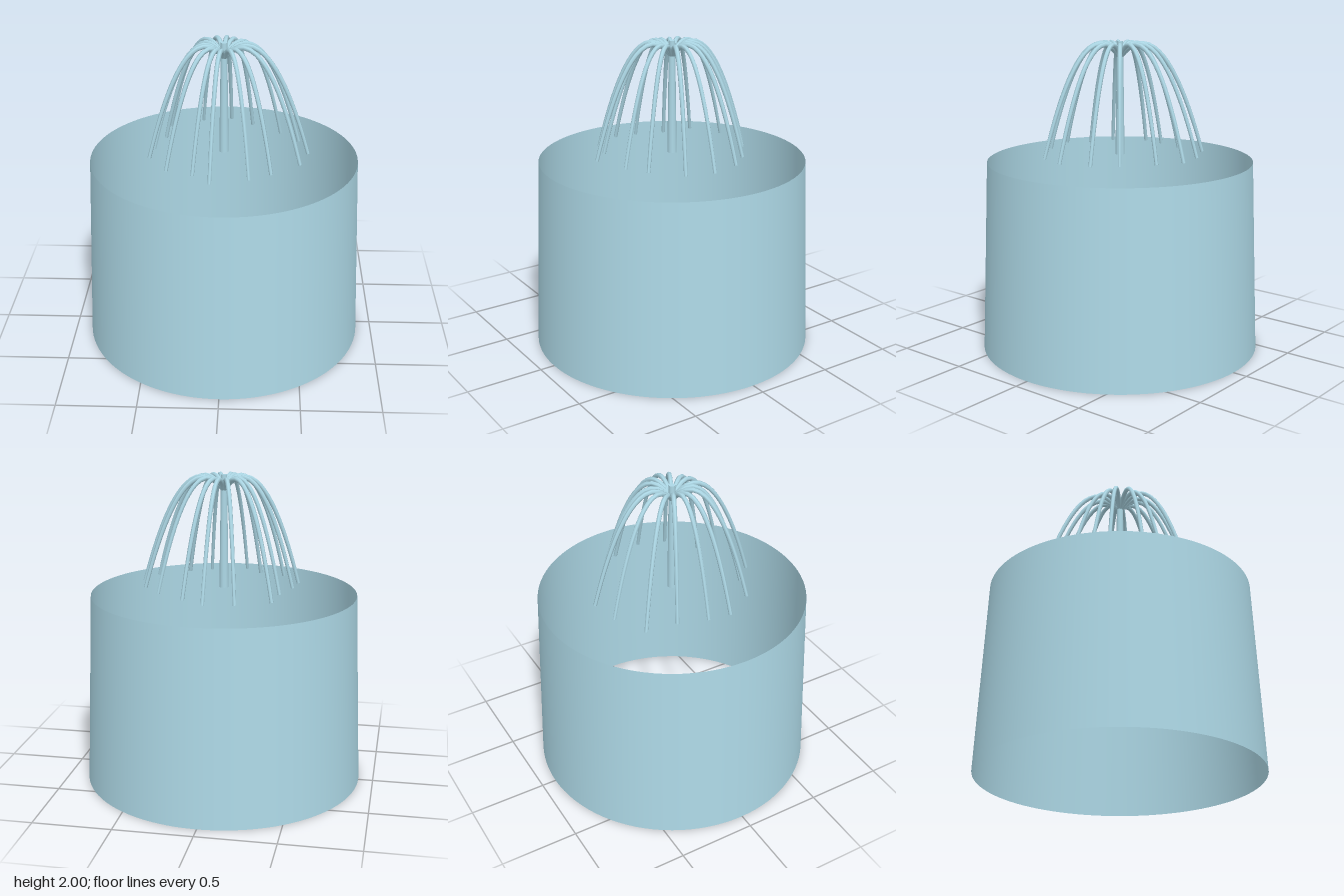
import * as THREE from 'three';

const water = new THREE.MeshStandardMaterial({ color: 0xadd8e6, side: THREE.DoubleSide });

// Landing point [x, z] of each falling stream
const landings = [
  [0.035, -0.53], [0.18, -0.43], [0.365, -0.29], [0.48, -0.155],
  [0.535, 0.045], [0.48, 0.22], [0.30, 0.37], [0.165, 0.45],
  [-0.07, 0.515], [-0.18, 0.40], [-0.345, 0.34], [-0.465, 0.145],
  [-0.445, 0], [-0.385, -0.185], [-0.365, -0.39], [-0.155, -0.495],
];

// A tube along a ballistic arc, getting thinner as it falls
function streamGeometry(x, z) {
  const points = [];
  for (let i = 0; i <= 16; i++) {
    const s = i / 16;
    points.push(new THREE.Vector3(x * s, 1.9 + 0.66 * s - 1.275 * s * s, z * s));
  }
  const curve = new THREE.CatmullRomCurve3(points);
  const steps = 24, sides = 6;
  const geometry = new THREE.TubeGeometry(curve, steps, 0.016, sides);
  const pos = geometry.attributes.position;
  const v = new THREE.Vector3();
  for (let i = 0; i <= steps; i++) {
    const centre = curve.getPointAt(i / steps);
    for (let j = 0; j <= sides; j++) {
      const k = i * (sides + 1) + j;
      v.fromBufferAttribute(pos, k).sub(centre).multiplyScalar(1 - 0.28 * i / steps).add(centre);
      pos.setXYZ(k, v.x, v.y, v.z);
    }
  }
  return geometry;
}

export function createModel() {
  const model = new THREE.Group();
  model.name = 'fountain';

  // Open, slightly tapering wall without floor or lid
  const wall = new THREE.Mesh(new THREE.CylinderGeometry(0.855, 0.905, 1.24, 96, 1, true), water);
  wall.name = 'basinWall';
  wall.position.y = 0.62;
  model.add(wall);

  // Upright central jet
  const jet = new THREE.Mesh(new THREE.CylinderGeometry(0.02, 0.03, 0.725, 12), water);
  jet.name = 'centralJet';
  jet.position.y = 1.6375;
  model.add(jet);

  // Ring of arching streams
  const streams = new THREE.Group();
  streams.name = 'streams';
  landings.forEach(([x, z], i) => {
    const stream = new THREE.Mesh(streamGeometry(x, z), water);
    stream.name = `stream${i + 1}`;
    streams.add(stream);
  });
  model.add(streams);

  return model;
}
